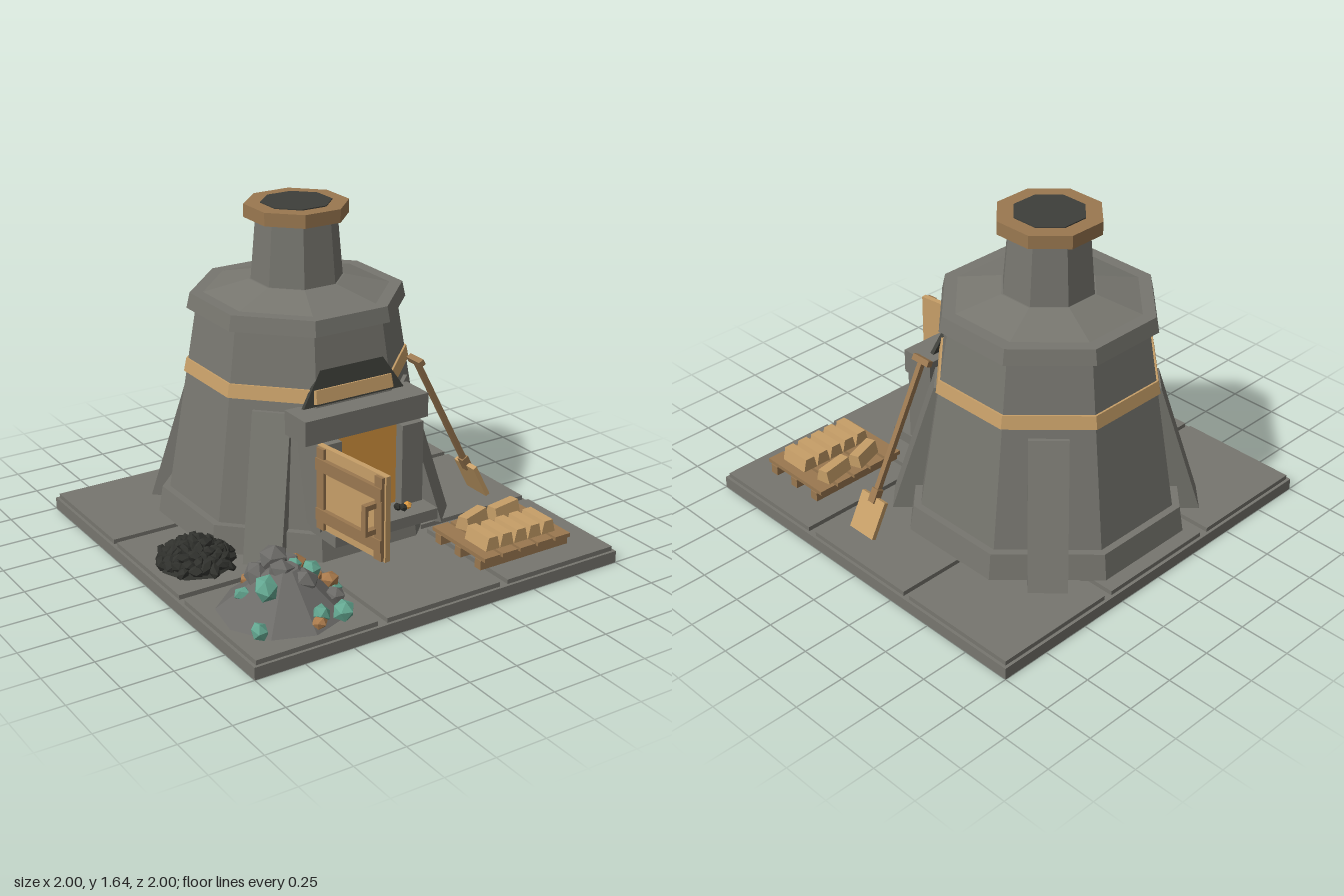
import * as THREE from 'three';

const mat = (name, color) => {
  const m = new THREE.MeshStandardMaterial({ color, flatShading: true });
  m.name = name;
  return m;
};

export function createModel() {
  const stone = mat('stone', 0x77766f), tan = mat('light wood', 0xc79f68), brown = mat('brown wood', 0x9a7850);
  const soot = mat('soot', 0x3e3f3a), glow = mat('fire glow', 0xdb9840), coalMat = mat('coal', 0x30312d);
  const teal = mat('green ore', 0x63a690), copper = mat('copper ore', 0xa97a4c), rockMat = mat('grey rock', 0x6c6b68);

  const root = new THREE.Group();
  root.name = 'smeltingFurnace';
  let seed = 7;
  const rnd = () => (seed = (seed * 16807) % 2147483647) / 2147483647;

  const group = (name, parent = root) => {
    const g = new THREE.Group();
    g.name = name;
    parent.add(g);
    return g;
  };
  const add = (parent, name, geo, m, x = 0, y = 0, z = 0) => {
    const mesh = new THREE.Mesh(geo, m);
    mesh.name = name;
    mesh.position.set(x, y, z);
    parent.add(mesh);
    return mesh;
  };
  // Box given by its limits
  const box = (parent, name, m, x0, x1, y0, y1, z0, z1) =>
    add(parent, name, new THREE.BoxGeometry(x1 - x0, y1 - y0, z1 - z0), m, (x0 + x1) / 2, (y0 + y1) / 2, (z0 + z1) / 2);
  // Octagonal ring section; sizes measured from centre to flat side
  const octagon = (parent, name, m, bottom, top, y0, y1) => {
    const k = 1 / Math.cos(Math.PI / 8);
    const geo = new THREE.CylinderGeometry(top * k, bottom * k, y1 - y0, 8).rotateY(Math.PI / 8);
    return add(parent, name, geo, m, 0, (y0 + y1) / 2, 0);
  };

  // Paved ground
  const floor = group('floor');
  box(floor, 'floorSlab', stone, -1, 1, 0, 0.06, -1, 1);
  const cols = [[-0.985, -0.365], [-0.315, 0.31], [0.355, 0.985]];
  const rows = [[-0.985, -0.36], [-0.325, 0.305], [0.355, 0.985]];
  for (const [x0, x1] of cols) for (const [z0, z1] of rows) box(floor, 'pavingStone', stone, x0, x1, 0.06, 0.083, z0, z1);

  // Octagonal tower
  const tower = group('tower');
  tower.position.z = -0.265;
  octagon(tower, 'plinth', stone, 0.65, 0.63, 0.08, 0.215);
  octagon(tower, 'body', stone, 0.595, 0.455, 0.215, 1.14);
  octagon(tower, 'band', tan, 0.515, 0.503, 0.82, 0.885);
  octagon(tower, 'cornice', stone, 0.495, 0.48, 1.14, 1.215);
  octagon(tower, 'roof', stone, 0.42, 0.215, 1.215, 1.27);
  octagon(tower, 'chimney', stone, 0.208, 0.183, 1.265, 1.58);
  octagon(tower, 'chimneyRim', brown, 0.235, 0.235, 1.575, 1.64);
  octagon(tower, 'chimneyOpening', soot, 0.16, 0.16, 1.6, 1.645);

  // Sloping corner buttresses
  for (let i = 0; i < 4; i++) {
    const geo = new THREE.BoxGeometry(0.185, 0.69, 0.3);
    const p = geo.attributes.position;
    for (let v = 0; v < p.count; v++) {
      const outer = p.getY(v) > 0 ? 0.53 : 0.745;
      p.setZ(v, p.getZ(v) > 0 ? outer : 0.38);
    }
    geo.computeVertexNormals();
    add(tower, 'buttress', geo, stone, 0, 0.425, 0).rotation.y = Math.PI / 4 + i * Math.PI / 2;
  }

  // Furnace mouth
  const mouth = group('mouth');
  box(mouth, 'lintel', stone, -0.345, 0.34, 0.68, 0.8, 0.18, 0.36);
  for (const s of [-1, 1]) {
    box(mouth, 'jamb', stone, Math.min(s * 0.17, s * 0.29), Math.max(s * 0.17, s * 0.29), 0.25, 0.68, 0.2, 0.395);
  }
  box(mouth, 'hearthShelf', stone, -0.28, 0.3, 0.215, 0.27, 0.25, 0.51);
  box(mouth, 'fireGlow', glow, -0.17, 0.17, 0.27, 0.68, 0.335, 0.343);

  // Soot hood leaning against the wall above the mouth
  const hood = new THREE.Shape([[-0.28, 0], [0.28, 0], [0.175, 0.165], [-0.175, 0.165]].map(a => new THREE.Vector2(...a)));
  const hoodMesh = add(mouth, 'sootHood', new THREE.ExtrudeGeometry(hood, { depth: 0.02, bevelEnabled: false }), soot, 0, 0.805, 0.222);
  hoodMesh.rotation.x = -0.15;

  // Open door with cross bars and handle
  const door = group('door');
  door.position.set(-0.275, 0.27, 0.37);
  door.rotation.y = 0.115;
  box(door, 'doorPanel', tan, -0.012, 0.016, 0, 0.415, 0, 0.475);
  for (const y of [0.05, 0.3]) box(door, 'doorBar', brown, -0.035, -0.012, y, y + 0.06, 0.01, 0.465);
  for (const z of [0.01, 0.415]) box(door, 'doorStile', brown, -0.028, -0.012, 0.005, 0.41, z, z + 0.05);
  box(door, 'doorHandle', brown, -0.09, -0.075, 0.13, 0.28, 0.4, 0.43);
  for (const y of [0.13, 0.255]) box(door, 'handleMount', brown, -0.09, -0.02, y, y + 0.025, 0.4, 0.43);

  // Angular stone, stretched and turned
  const stonePiece = (parent, name, m, x, y, z, r, sx = 1, sy = 0.85, sz = 1) => {
    const geo = new THREE.IcosahedronGeometry(r, 0);
    geo.scale(sx * (0.9 + rnd() * 0.25), sy * (0.9 + rnd() * 0.2), sz * (0.9 + rnd() * 0.25));
    add(parent, name, geo, m, x, y, z).rotation.set(rnd() * 1.2, rnd() * 6.28, rnd() * 1.2);
  };

  // Ore heap
  const ore = group('orePile');
  const mound = new THREE.CylinderGeometry(0.06, 0.3, 0.2, 9);
  const mp = mound.attributes.position;
  for (let v = 0; v < mp.count; v++) if (mp.getY(v) > 0) mp.setX(v, mp.getX(v) + 0.02);
  add(ore, 'mound', mound, rockMat, -0.655, 0.18, 0.65);
  const heap = [
    [rockMat, [[-0.64, 0.285, 0.56, 0.075], [-0.58, 0.22, 0.71, 0.07], [-0.73, 0.23, 0.56, 0.06], [-0.66, 0.26, 0.66, 0.06],
      [-0.53, 0.2, 0.5, 0.055], [-0.45, 0.14, 0.77, 0.045], [-0.62, 0.2, 0.46, 0.05]]],
    [teal, [[-0.78, 0.25, 0.73, 0.065], [-0.81, 0.16, 0.58, 0.045], [-0.88, 0.12, 0.84, 0.045], [-0.49, 0.135, 0.9, 0.055],
      [-0.59, 0.14, 0.88, 0.045], [-0.44, 0.18, 0.56, 0.045], [-0.41, 0.13, 0.69, 0.045], [-0.54, 0.23, 0.57, 0.04]]],
    [copper, [[-0.71, 0.15, 0.46, 0.045], [-0.47, 0.17, 0.47, 0.05], [-0.42, 0.17, 0.68, 0.05], [-0.62, 0.12, 0.91, 0.035],
      [-0.58, 0.18, 0.47, 0.04], [-0.4, 0.12, 0.53, 0.035]]],
  ];
  for (const [m, list] of heap) for (const a of list) stonePiece(ore, 'oreChunk', m, ...a);

  // Coal heap
  const coal = group('coalPile');
  add(coal, 'coalMound', new THREE.ConeGeometry(0.18, 0.15, 8), coalMat, -0.77, 0.155, 0.07);
  for (let i = 0; i < 60; i++) {
    const t = Math.sqrt((i + 0.5) / 60), a = i * 2.4;
    stonePiece(coal, 'coalLump', coalMat, -0.77 + Math.cos(a) * t * 0.165, 0.11 + 0.11 * (1 - t), 0.07 + Math.sin(a) * t * 0.175, 0.036, 0.8, 0.7, 1.25);
  }

  // Cinders on the hearth shelf
  const cinders = group('cinders');
  for (const [m, x, z] of [[coalMat, -0.11, 0.46], [coalMat, -0.09, 0.43], [coalMat, 0.13, 0.42], [coalMat, 0.15, 0.44],
    [glow, 0.01, 0.45], [glow, 0.18, 0.43], [copper, 0.03, 0.44]]) stonePiece(cinders, 'cinder', m, x, 0.284, z, 0.022);

  // Pallet
  const pallet = group('pallet');
  for (const z of [0.49, 0.645, 0.8]) box(pallet, 'palletRunner', brown, 0.305, 0.825, 0.083, 0.13, z, z + 0.045);
  for (let i = 0; i < 5; i++) box(pallet, 'palletSlat', brown, 0.31 + i * 0.105, 0.4 + i * 0.105, 0.13, 0.15, 0.46, 0.87);

  // Cast bars with a tapered section
  const barShape = new THREE.Shape([[-0.04, 0], [0.04, 0], [0.025, 0.065], [-0.025, 0.065]].map(a => new THREE.Vector2(...a)));
  const barGeo = new THREE.ExtrudeGeometry(barShape, { depth: 0.165, bevelEnabled: false }).translate(0, 0, -0.0825);
  for (let i = 0; i < 5; i++) add(pallet, 'castBar', barGeo, tan, 0.4 + i * 0.083, 0.15, 0.73);
  add(pallet, 'castBar', barGeo, tan, 0.485, 0.15, 0.54).rotation.y = 1.9;
  add(pallet, 'castBar', barGeo, tan, 0.675, 0.15, 0.535).rotation.y = 1.75;

  // Shovel leaning on the wall
  const shovel = group('shovel');
  shovel.position.set(0.835, 0.09, 0.135);
  shovel.rotation.z = 0.48;
  box(shovel, 'shovelBlade', tan, -0.012, 0.012, 0, 0.19, -0.08, 0.08);
  box(shovel, 'shovelSocket', brown, -0.02, 0.02, 0.16, 0.23, -0.02, 0.02);
  box(shovel, 'shovelHandle', brown, -0.013, 0.013, 0.19, 0.88, -0.013, 0.013);
  box(shovel, 'shovelGrip', brown, -0.015, 0.015, 0.87, 0.9, -0.053, 0.053);

  return root;
}
